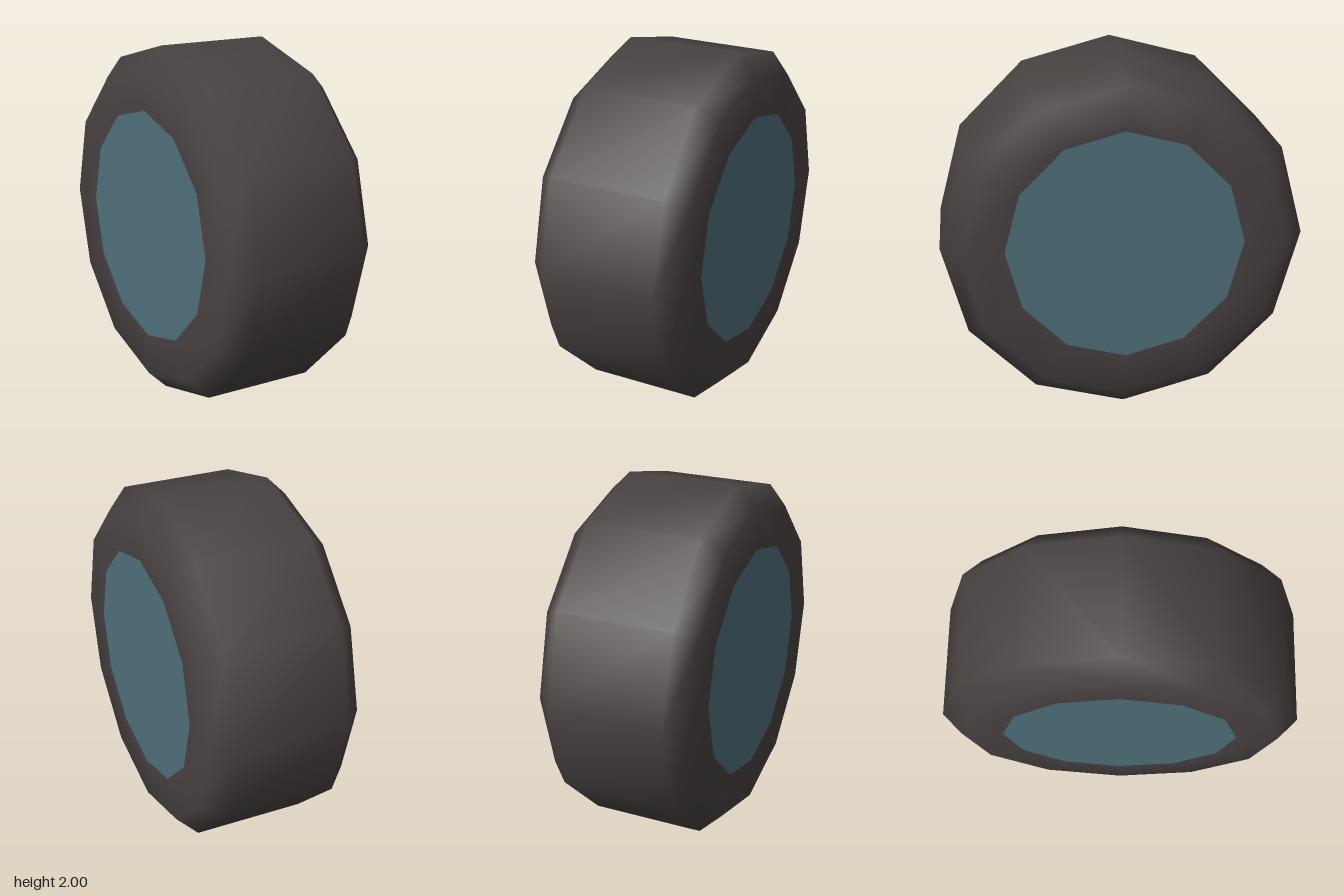
import * as THREE from 'three';
import { mergeVertices } from 'three/addons/utils/BufferGeometryUtils.js';

const SIDES = 12;
const HALF_WIDTH = 0.43;
const HUB_RADIUS = 0.655;

export function createModel() {
  const rubber = new THREE.MeshStandardMaterial({ color: 0x484241 });
  rubber.name = 'dark rubber';
  const hubPaint = new THREE.MeshStandardMaterial({ color: 0x4f707a });
  hubPaint.name = 'blue grey hub';

  const wheel = new THREE.Group();
  wheel.name = 'wheel';
  wheel.position.y = 1;

  // Tyre: chamfered profile turned round the axle, smooth across all faces
  const profile = [
    [HUB_RADIUS, -HALF_WIDTH], [0.89, -HALF_WIDTH], [1, -0.32],
    [1, 0.32], [0.89, HALF_WIDTH], [HUB_RADIUS, HALF_WIDTH],
  ].map(([r, y]) => new THREE.Vector2(r, y));
  let tyreGeometry = new THREE.LatheGeometry(profile, SIDES);
  tyreGeometry.deleteAttribute('normal');
  tyreGeometry.deleteAttribute('uv');
  tyreGeometry = mergeVertices(tyreGeometry, 1e-4);
  tyreGeometry.computeVertexNormals();
  tyreGeometry.rotateZ(Math.PI / 2);
  const tyre = new THREE.Mesh(tyreGeometry, rubber);
  tyre.name = 'tyre';
  wheel.add(tyre);

  // Flat hub faces, flush with the sidewalls
  for (const side of [1, -1]) {
    const hub = new THREE.Mesh(new THREE.CircleGeometry(HUB_RADIUS, SIDES), hubPaint);
    hub.name = side > 0 ? 'leftHub' : 'rightHub';
    hub.rotation.y = side * Math.PI / 2;
    hub.position.x = side * HALF_WIDTH;
    wheel.add(hub);
  }

  const model = new THREE.Group();
  model.name = 'wheelModel';
  model.add(wheel);
  return model;
}
